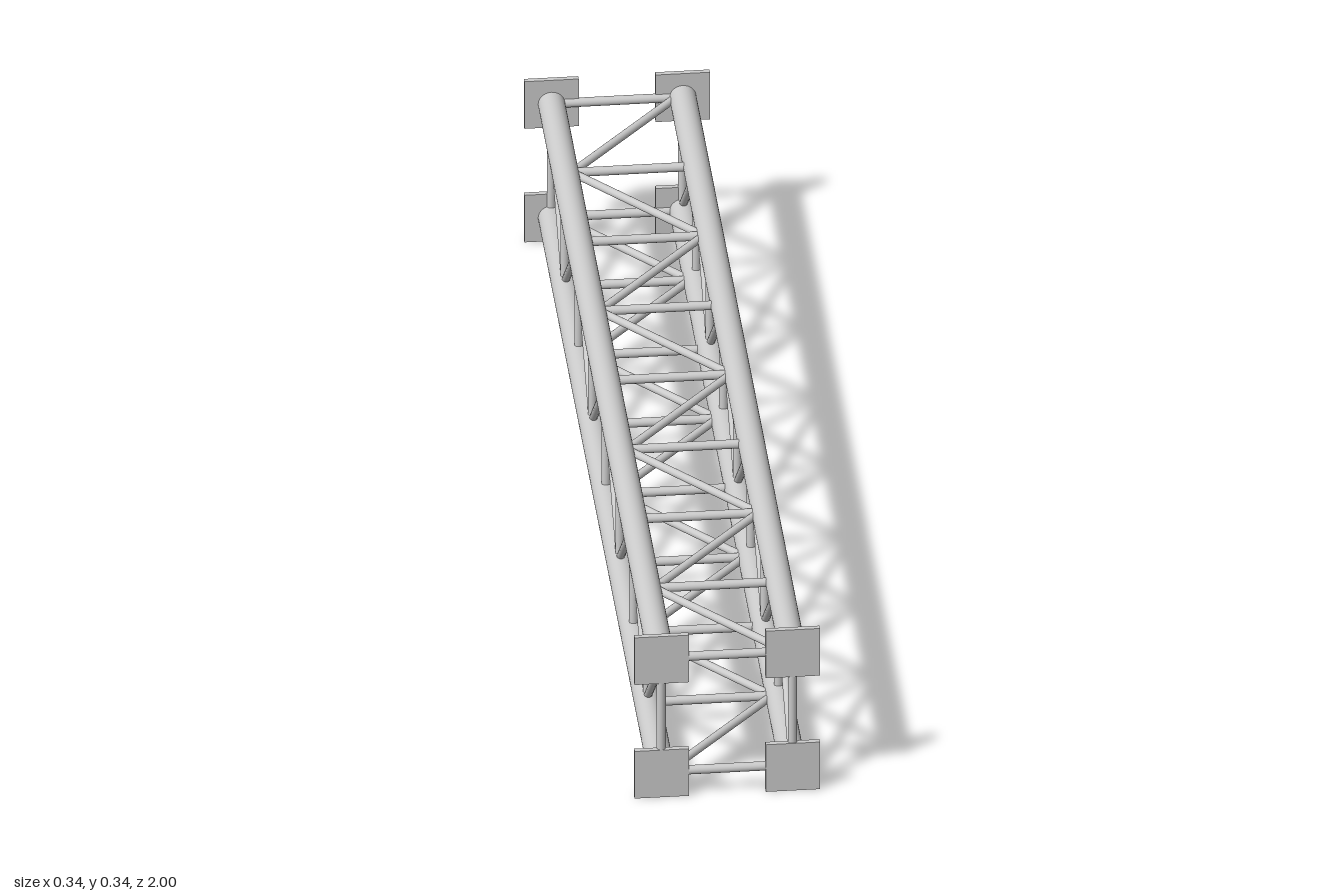
import * as THREE from 'three';

const HALF_X = 0.1195;            // chord axis, sideways
const LOW = 0.0495, HIGH = 0.2885; // chord axis heights
const END = 0.991;                // z of the outermost nodes
const BAYS = 8;
const CHORD_R = 0.0245, STRUT_R = 0.0085, DIAGONAL_R = 0.0075;
const PLATE = 0.099, PLATE_T = 0.01;
const INSET = 0.012;              // diagonals start inside the chord wall

const material = new THREE.MeshStandardMaterial({ color: 0xcccccc });

// Round tube between two points
function tube(name, a, b, radius, sides = 16) {
  const dir = b.clone().sub(a);
  const mesh = new THREE.Mesh(new THREE.CylinderGeometry(radius, radius, dir.length(), sides), material);
  mesh.name = name;
  mesh.position.copy(a).add(b).multiplyScalar(0.5);
  mesh.quaternion.setFromUnitVectors(new THREE.Vector3(0, 1, 0), dir.normalize());
  return mesh;
}

// Lattice of one face; edge(side, z, inset) gives a point on chord 0 or 1
function lattice(name, edge, flip) {
  const face = new THREE.Group();
  face.name = name;
  const nodeZ = (i) => END - (2 * END * i) / BAYS;
  for (let i = 0; i <= BAYS; i++) {
    face.add(tube('strut', edge(0, nodeZ(i), 0), edge(1, nodeZ(i), 0), STRUT_R));
  }
  // Zigzag diagonals, one per bay
  for (let i = 0; i < BAYS; i++) {
    const from = (i + flip) % 2;
    face.add(tube('diagonal', edge(from, nodeZ(i), INSET), edge(1 - from, nodeZ(i + 1), INSET), DIAGONAL_R));
  }
  return face;
}

export function createModel() {
  const group = new THREE.Group();
  group.name = 'boxTruss';

  for (const x of [-HALF_X, HALF_X]) {
    for (const y of [LOW, HIGH]) {
      // Main chords
      group.add(tube('chord', new THREE.Vector3(x, y, -END), new THREE.Vector3(x, y, END), CHORD_R, 32));
      // Square end plates
      for (const s of [-1, 1]) {
        const plate = new THREE.Mesh(new THREE.BoxGeometry(PLATE, PLATE, PLATE_T), material);
        plate.name = 'endPlate';
        plate.position.set(x, y, s * (1 - PLATE_T / 2));
        group.add(plate);
      }
    }
  }

  // Side faces: chord 0 is the lower one
  const side = (x) => (k, z, d) => new THREE.Vector3(x, k ? HIGH - d : LOW + d, z);
  group.add(lattice('leftLattice', side(HALF_X), 0));
  group.add(lattice('rightLattice', side(-HALF_X), 1));

  // Top and bottom faces: chord 0 is the -x one
  const flat = (y) => (k, z, d) => new THREE.Vector3(k ? HALF_X - d : -HALF_X + d, y, z);
  group.add(lattice('topLattice', flat(HIGH), 1));
  group.add(lattice('bottomLattice', flat(LOW), 0));

  return group;
}
